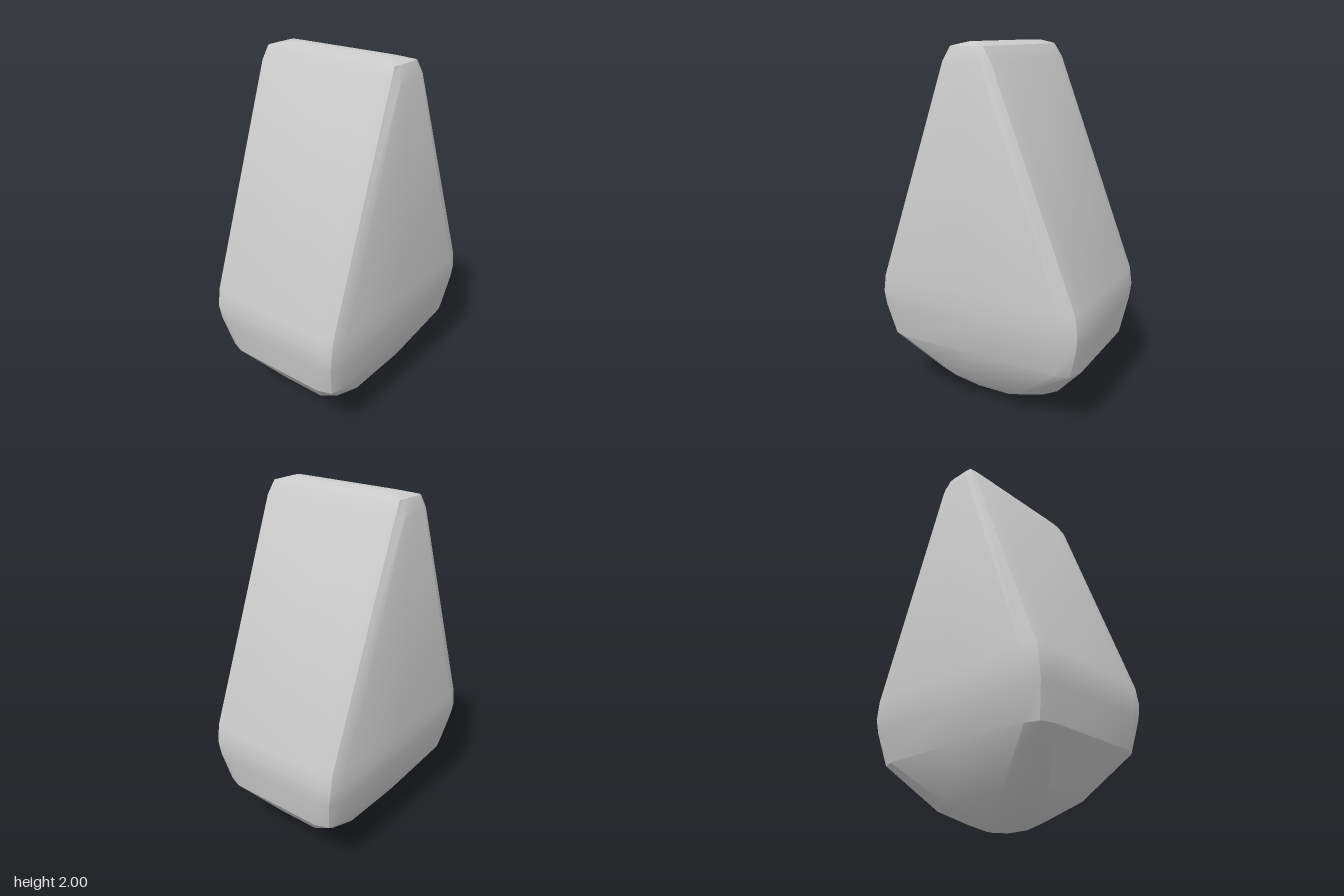
import * as THREE from 'three';
import { toCreasedNormals } from 'three/addons/utils/BufferGeometryUtils.js';

// Horizontal sections: y, half width, half depth, centre x, centre z,
// then the corner cuts: a (along x), e (corner x), f (corner z), b (along z)
const SECTIONS = [
  [0.02, 0.13, 0.085, -0.005, 0.03, 0.08, 0.035, 0.025, 0.055],
  [0.06, 0.22, 0.16, -0.003, 0.025, 0.12, 0.05, 0.04, 0.09],
  [0.14, 0.382, 0.25, -0.002, 0.02, 0.18, 0.06, 0.045, 0.12],
  [0.37, 0.573, 0.38, 0, 0.007, 0.1, 0.028, 0.024, 0.1],
  [0.55, 0.603, 0.412, 0, 0.002, 0.09, 0.016, 0.024, 0.1],
  [0.63, 0.607, 0.425, 0, 0, 0.09, 0.014, 0.025, 0.1],
  [0.73, 0.592, 0.425, 0, 0, 0.09, 0.014, 0.025, 0.1],
  [1.91, 0.147, 0.425, -0.018, 0, 0.06, 0.014, 0.025, 0.1],
  [1.98, 0.095, 0.398, -0.02, 0, 0.04, 0.005, 0.005, 0.06],
  [2.0, 0.03, 0.33, -0.015, 0, 0.012, 0.003, 0.005, 0.06],
];

// Rounded rectangle loop, running from +x towards +z
function sectionLoop([y, w, d, cx, cz, a, e, f, b]) {
  const quarter = [[w, 0], [w, d - b], [w - e, d - f], [w - a, d]];
  const back = [...quarter].reverse();
  const outline = [
    ...quarter, [0, d],
    ...back.map(([x, z]) => [-x, z]),
    ...quarter.slice(1).map(([x, z]) => [-x, -z]), [0, -d],
    ...back.slice(0, 3).map(([x, z]) => [x, -z]),
  ];
  // The left flank leans out slightly towards the front
  return outline.map(([x, z]) => [cx + x + (x > 0 ? 0.015 * z * Math.min(1, x / 0.1) : 0), y, cz + z]);
}

function loftGeometry(sections, bottom, top) {
  const loops = sections.map(sectionLoop);
  const n = loops[0].length;
  const verts = [];
  const tri = (p, q, r) => verts.push(...p, ...q, ...r);
  for (let i = 0; i < n; i++) {
    const j = (i + 1) % n;
    tri(bottom, loops[0][i], loops[0][j]);
    for (let k = 0; k < loops.length - 1; k++) {
      const lo = loops[k], hi = loops[k + 1];
      tri(lo[i], hi[i], lo[j]);
      tri(lo[j], hi[i], hi[j]);
    }
    const last = loops[loops.length - 1];
    tri(top, last[j], last[i]);
  }
  const g = new THREE.BufferGeometry();
  g.setAttribute('position', new THREE.Float32BufferAttribute(verts, 3));
  return toCreasedNormals(g, 0.5);
}

export function createModel() {
  const group = new THREE.Group();
  group.name = 'taperedWedge';
  // Body: wide rounded base tapering to a narrow ridge
  const body = new THREE.Mesh(
    loftGeometry(SECTIONS, [-0.005, 0, 0.03], [-0.015, 2, 0]),
    new THREE.MeshStandardMaterial({ color: 0xcccccc })
  );
  body.name = 'wedgeBody';
  group.add(body);
  return group;
}
